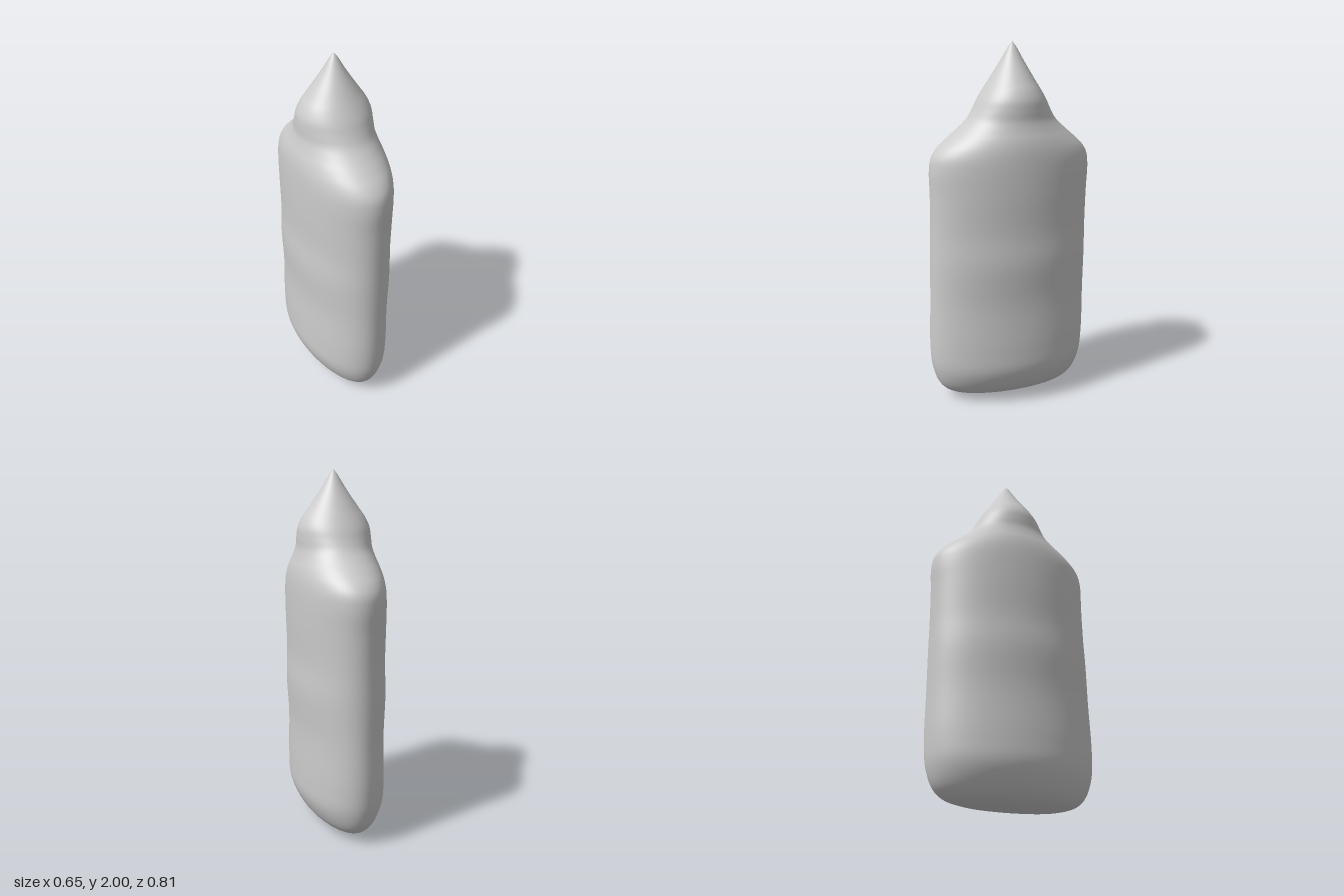
import * as THREE from 'three';

// Profile rows: [half length, height, half thickness] of the elliptical section
const ROWS = [
  [0, 0, 0], [0.15, 0.005, 0.035], [0.27, 0.02, 0.09], [0.363, 0.05, 0.147],
  [0.412, 0.1, 0.19], [0.447, 0.2, 0.232], [0.458, 0.33, 0.238], [0.455, 0.6, 0.232],
  [0.453, 0.83, 0.243], [0.45, 1.0, 0.236], [0.45, 1.2, 0.24], [0.453, 1.33, 0.24],
  [0.442, 1.4, 0.238], [0.41, 1.45, 0.234], [0.355, 1.5, 0.225], [0.295, 1.55, 0.21],
  [0.243, 1.6, 0.199], [0.212, 1.65, 0.198], [0.187, 1.7, 0.193], [0.157, 1.75, 0.172],
  [0.125, 1.8, 0.137], [0.064, 1.9, 0.067], [0.02, 1.975, 0.02], [0, 2, 0],
];
const TURN = THREE.MathUtils.degToRad(55.3); // long axis, from +x towards +z
const RINGS = 120, SIDES = 64;

// Loft turned ellipses along the height
function loftBody() {
  const profile = new THREE.CatmullRomCurve3(ROWS.map((r) => new THREE.Vector3(...r)));
  const c = Math.cos(TURN), s = Math.sin(TURN);
  const positions = [], index = [];
  for (let i = 0; i <= RINGS; i++) {
    const p = profile.getPoint(i / RINGS);
    const shift = 0.012 - 0.016 * p.y; // slight lean to the back
    for (let j = 0; j < SIDES; j++) {
      const t = (j / SIDES) * Math.PI * 2;
      const u = p.x * Math.cos(t), v = p.z * Math.sin(t);
      positions.push(u * c + v * s, Math.max(p.y, 0), u * s - v * c + shift);
      if (i === RINGS) continue;
      const k = (j + 1) % SIDES;
      const a = i * SIDES + j, b = i * SIDES + k;
      if (i > 0) index.push(a, b, b + SIDES);
      if (i < RINGS - 1) index.push(a, b + SIDES, a + SIDES);
      else if (i === 0) index.push(a, b, b + SIDES);
    }
  }
  const geometry = new THREE.BufferGeometry();
  geometry.setAttribute('position', new THREE.Float32BufferAttribute(positions, 3));
  geometry.setIndex(index);
  geometry.computeVertexNormals();
  return geometry;
}

export function createModel() {
  const group = new THREE.Group();
  group.name = 'pointedFlattenedForm';
  const body = new THREE.Mesh(loftBody(), new THREE.MeshStandardMaterial({ color: 0xcccccc }));
  body.name = 'body';
  group.add(body);
  return group;
}
